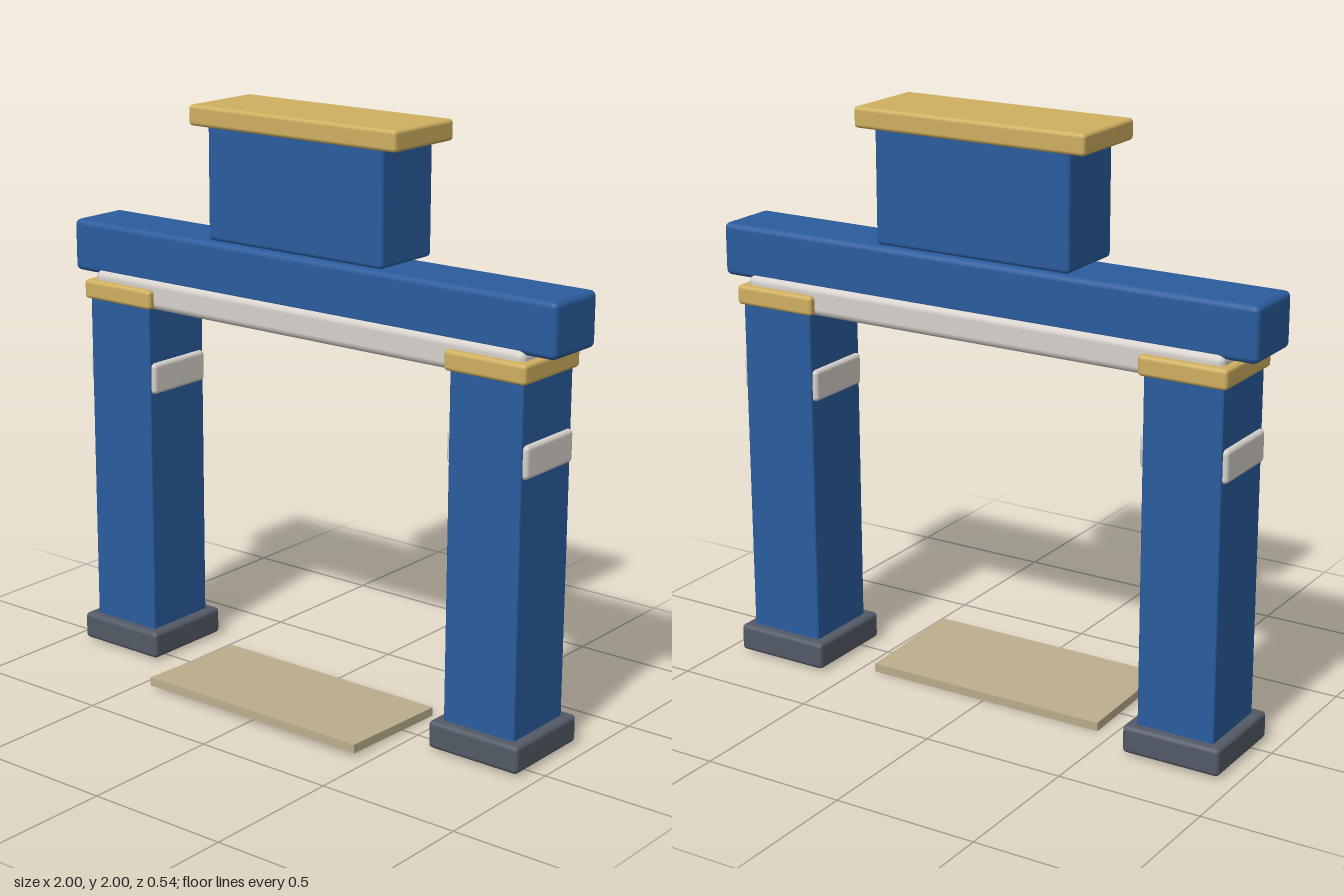
import * as THREE from 'three';
import { RoundedBoxGeometry } from 'three/addons/geometries/RoundedBoxGeometry.js';

const paint = (color) => new THREE.MeshStandardMaterial({ color });

export function createModel() {
  const gate = new THREE.Group();
  gate.name = 'gate';
  const blue = paint(0x2a5c9e);
  const gold = paint(0xcfb060);
  const slate = paint(0x535a66);
  const pale = paint(0xd6d1cb);
  const sand = paint(0xbbae8c);

  // Softened block given by its [min, max] range on each axis
  function block(parent, name, material, [x0, x1], [y0, y1], [z0, z1], radius) {
    const geometry = new RoundedBoxGeometry(x1 - x0, y1 - y0, z1 - z0, 2, radius);
    const mesh = new THREE.Mesh(geometry, material);
    mesh.position.set((x0 + x1) / 2, (y0 + y1) / 2, (z0 + z1) / 2);
    mesh.name = name;
    parent.add(mesh);
    return mesh;
  }

  // Two posts, each with a foot, a band showing on its sides, and a capital
  for (const [side, sign] of [['left', 1], ['right', -1]]) {
    const post = new THREE.Group();
    post.name = side + 'Post';
    post.position.set(sign * 0.768, 0, -0.095);
    block(post, 'foot', slate, [-0.173, 0.173], [0.01, 0.105], [-0.173, 0.173], 0.015);
    block(post, 'shaft', blue, [-0.137, 0.137], [0.08, 1.29], [-0.139, 0.139], 0.008);
    block(post, 'band', pale, [-0.153, 0.153], [0.97, 1.08], [-0.131, 0.131], 0.015);
    block(post, 'capital', gold, [-0.153, 0.153], [1.275, 1.342], [-0.154, 0.154], 0.013);
    gate.add(post);
  }

  // Lintel and the crossbeam resting on it
  block(gate, 'lintel', pale, [-0.895, 0.895], [1.27, 1.375], [-0.225, 0.035], 0.025);
  block(gate, 'crossbeam', blue, [-1, 1], [1.358, 1.54], [-0.21, 0.021], 0.02);

  // Raised block with its overhanging cap
  block(gate, 'signBlock', blue, [-0.36, 0.36], [1.552, 1.94], [-0.228, 0.04], 0.014);
  block(gate, 'signCap', gold, [-0.424, 0.424], [1.93, 2], [-0.25, 0.061], 0.013);

  // Threshold slab, sloping slightly down towards the back
  const slab = new THREE.Mesh(new THREE.BoxGeometry(0.888, 0.03, 0.43), sand);
  slab.name = 'threshold';
  slab.position.set(0, 0.022, 0.056);
  slab.rotation.x = -0.032;
  gate.add(slab);

  return gate;
}
